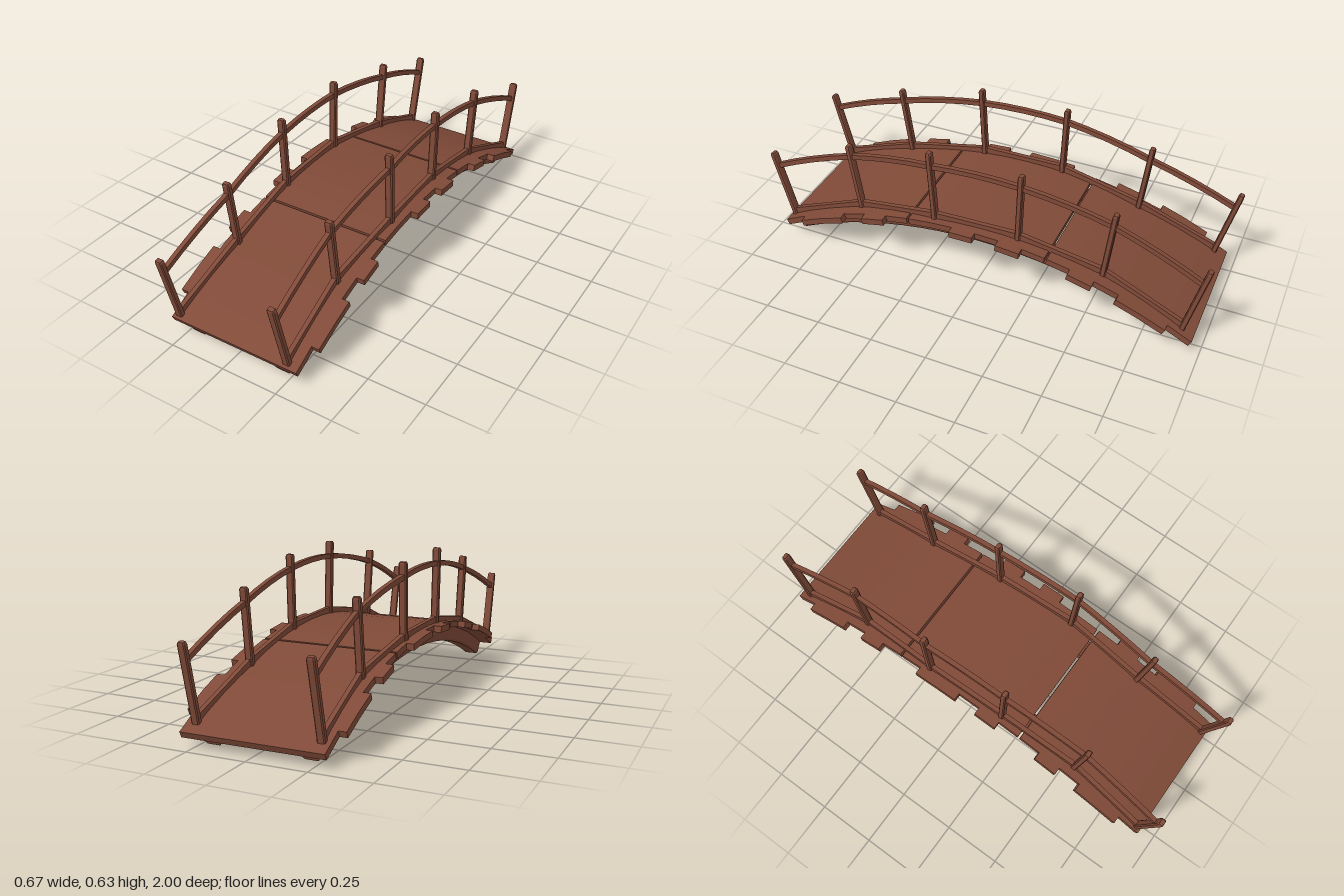
import * as THREE from 'three';

const wood = new THREE.MeshStandardMaterial({ color: 0x804a38, flatShading: true });
wood.name = 'brown wood';

// Sweep a counterclockwise ring of [x, n] pairs along a path; n lies in the y-z plane, square to the path.
function sweep(name, path, ring, scales = []) {
  const rows = path.map((p, i) => {
    const t = path[Math.min(i + 1, path.length - 1)].clone().sub(path[Math.max(i - 1, 0)]);
    t.x = 0;
    t.normalize();
    const s = scales[i] ?? 1;
    return ring.map(([x, n]) => new THREE.Vector3(p.x + x * s, p.y + t.z * n * s, p.z - t.y * n * s));
  });
  const pos = [];
  const tri = (...v) => v.forEach((q) => pos.push(q.x, q.y, q.z));
  const k = ring.length;
  for (let i = 0; i + 1 < rows.length; i++) {
    for (let j = 0; j < k; j++) {
      const [a, b] = [rows[i][j], rows[i][(j + 1) % k]];
      const [c, d] = [rows[i + 1][(j + 1) % k], rows[i + 1][j]];
      tri(a, b, c);
      tri(a, c, d);
    }
  }
  const first = rows[0], last = rows[rows.length - 1];
  for (let j = 1; j + 1 < k; j++) {
    tri(first[0], first[j + 1], first[j]);
    tri(last[0], last[j], last[j + 1]);
  }
  const geo = new THREE.BufferGeometry();
  geo.setAttribute('position', new THREE.Float32BufferAttribute(pos, 3));
  geo.computeVertexNormals();
  const mesh = new THREE.Mesh(geo, wood);
  mesh.name = name;
  return mesh;
}

const rect = (w, h) => [[-w / 2, -h / 2], [w / 2, -h / 2], [w / 2, h / 2], [-w / 2, h / 2]];
const V = (x, y, z) => new THREE.Vector3(x, y, z);
const deckY = (z) => Math.sqrt(4 - z * z) - 1.69;

export function createModel() {
  const model = new THREE.Group();
  model.name = 'arched footbridge';

  // Two curved beams under the deck
  const beamRing = [[-0.028, 0], [0.028, 0], [0.034, 0.01], [0.038, 0.07], [-0.038, 0.07], [-0.034, 0.01]];
  for (const x of [-0.207, 0.203]) {
    const path = [];
    for (let i = 0; i <= 20; i++) {
      const a = -0.466 + (0.932 * i) / 20;
      path.push(V(x, 1.97 * Math.cos(a) - 1.758, 1.97 * Math.sin(a)));
    }
    model.add(sweep('archBeam', path, beamRing));
  }

  // Deck planks, some of them longer on one or both sides
  const deck = new THREE.Group();
  deck.name = 'deck';
  const longLeft = [1, 2, 4, 7, 9, 13, 15, 16];
  const longRight = [1, 2, 4, 7, 8, 10, 13, 15, 16];
  const pitch = 1.9 / 18, thick = 0.028;
  for (let i = 0; i < 18; i++) {
    let z0 = -0.965 + i * pitch, z1 = z0 + pitch;
    if (i === 6 || i === 12) z0 += 0.005;
    if (i === 5 || i === 11) z1 -= 0.005;
    const xa = longRight.includes(i) ? -0.333 : -0.3;
    const xb = longLeft.includes(i) ? 0.333 : 0.3;
    const xm = (xa + xb) / 2;
    const ring = rect(xb - xa, thick).map(([x, n]) => [x, n - thick / 2]);
    deck.add(sweep('plank', [V(xm, deckY(z0), z0), V(xm, deckY(z1), z1)], ring));
  }
  model.add(deck);

  // Posts run from back to front: base z, base y, top z, top y
  const posts = [
    [-0.912, 0.085, -0.99, 0.412], [-0.558, 0.22, -0.595, 0.548], [-0.188, 0.295, -0.2, 0.625],
    [0.188, 0.295, 0.203, 0.632], [0.558, 0.22, 0.6, 0.542], [0.912, 0.085, 0.988, 0.404],
  ];
  const sides = {
    right: [-0.264, -0.25, -0.272, -0.266, -0.25, -0.274],
    left: [0.257, 0.234, 0.244, 0.257, 0.234, 0.246],
  };
  const postRing = [[-0.017, -0.008], [-0.012, -0.012], [0.012, -0.012], [0.017, -0.008],
    [0.017, 0.008], [0.012, 0.012], [-0.012, 0.012], [-0.017, 0.008]];

  for (const [side, xs] of Object.entries(sides)) {
    const railing = new THREE.Group();
    railing.name = side + 'Railing';
    const low = [], high = [];
    posts.forEach(([z0, y0, z1, y1], i) => {
      const base = V(xs[i], y0, z0), top = V(xs[i], y1, z1);
      railing.add(sweep('post', [base, base.clone().lerp(top, 0.975), top], postRing, [1, 1, 0.75]));
      low.push(V(xs[i], deckY(z0) + 0.014, z0));
      high.push(base.clone().lerp(top, 0.81));
    });

    // Lower rail in straight runs between the post feet
    railing.add(sweep('lowerRail', low, rect(0.02, 0.03)));

    // Handrail bowed along an arc through the posts
    const path = [];
    for (let i = 0; i + 1 < high.length; i++) {
      for (let j = 0; j < 4; j++) path.push(high[i].clone().lerp(high[i + 1], j / 4));
    }
    path.push(high[5]);
    path.forEach((p) => { p.y = 0.574 - 0.248 * p.z * p.z; });
    railing.add(sweep('handrail', path, rect(0.02, 0.022)));
    model.add(railing);
  }
  return model;
}
